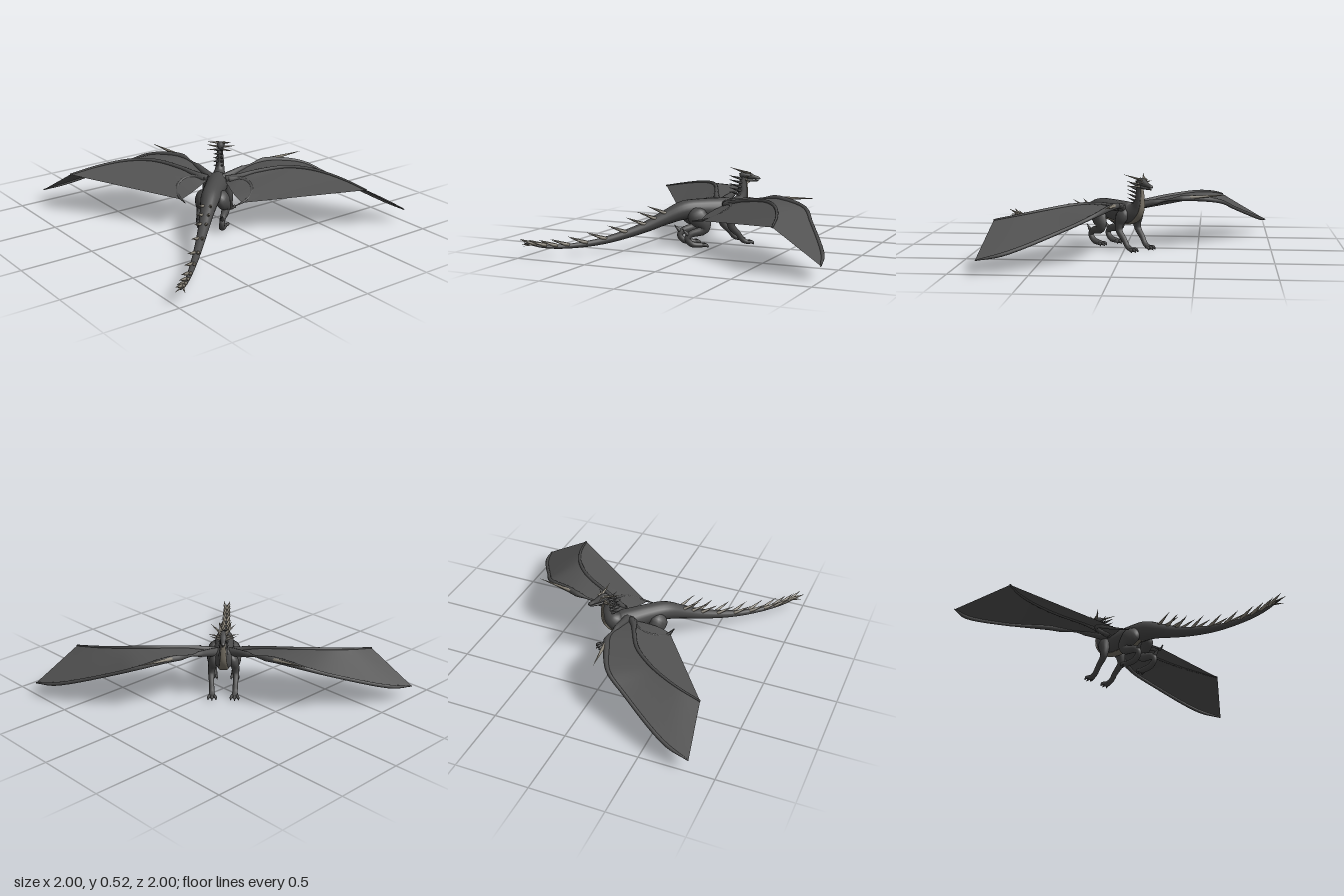
import * as THREE from 'three';

const mat = (name, color, side = THREE.FrontSide) => {
  const m = new THREE.MeshStandardMaterial({ color, side });
  m.name = name;
  return m;
};
const hide = mat('dark hide', 0x4a4a4a);
const skin = mat('wing membrane', 0x525252, THREE.DoubleSide);
const horn = mat('horn', 0x8c867a);
const belly = mat('belly scales', 0x7a7468);

const X = new THREE.Vector3(1, 0, 0);
const Y = new THREE.Vector3(0, 1, 0);

// Path entries are [x, y, z, halfWidth, halfHeight]; radii follow the same spline.
function splines(path) {
  return {
    line: new THREE.CatmullRomCurve3(path.map(p => new THREE.Vector3(p[0], p[1], p[2]))),
    size: new THREE.CatmullRomCurve3(path.map(p => new THREE.Vector3(p[3], p[4] ?? p[3], 0))),
  };
}

// Closed tapering body swept along a path
function limb(name, path, material, sides = 12, steps = (path.length - 1) * 5, ref = X) {
  const { line, size } = splines(path);
  const pos = [], idx = [];
  for (let i = 0; i <= steps; i++) {
    const u = i / steps, p = line.getPoint(u), t = line.getTangent(u), r = size.getPoint(u);
    const side = ref.clone().addScaledVector(t, -ref.dot(t)).normalize();
    const up = t.clone().cross(side);
    for (let j = 0; j < sides; j++) {
      const a = (j / sides) * Math.PI * 2;
      const v = p.clone()
        .addScaledVector(side, Math.cos(a) * Math.max(r.x, 0.0005))
        .addScaledVector(up, Math.sin(a) * Math.max(r.y, 0.0005));
      pos.push(v.x, v.y, v.z);
      if (i < steps) {
        const k = (j + 1) % sides, A = i * sides + j, B = i * sides + k;
        idx.push(A, B, A + sides, B, B + sides, A + sides);
      }
    }
  }
  // end caps
  for (let j = 1; j < sides - 1; j++) {
    const e = steps * sides;
    idx.push(0, j + 1, j, e, e + j, e + j + 1);
  }
  return finish(name, pos, idx, material);
}

// Membrane stretched between two curves
function sheet(name, a, b, material, nu = 30, nv = 8) {
  const ca = splines(a).line, cb = splines(b).line, pos = [], idx = [];
  for (let i = 0; i <= nu; i++) for (let j = 0; j <= nv; j++) {
    const v = ca.getPoint(i / nu).lerp(cb.getPoint(i / nu), j / nv);
    pos.push(v.x, v.y, v.z);
    if (i < nu && j < nv) {
      const A = i * (nv + 1) + j, C = A + nv + 1;
      idx.push(A, A + 1, C, A + 1, C + 1, C);
    }
  }
  return finish(name, pos, idx, material);
}

function finish(name, pos, idx, material) {
  const g = new THREE.BufferGeometry();
  g.setAttribute('position', new THREE.Float32BufferAttribute(pos, 3));
  g.setIndex(idx);
  g.computeVertexNormals();
  const m = new THREE.Mesh(g, material);
  m.name = name;
  return m;
}

// Pointed spike from a to b
function spike(name, a, b, r, material = horn) {
  const mid = a.map((v, i) => v * 0.5 + b[i] * 0.5);
  return limb(name, [[...a, r], [...mid, r * 0.6], [...b, 0]], material, 7, 4);
}

export function createModel() {
  const root = new THREE.Group();
  root.name = 'dragon';
  const dragon = new THREE.Group();
  dragon.name = 'dragonBody';
  dragon.rotation.y = Math.PI * 0.75; // the body runs diagonally across the base
  root.add(dragon);
  const add = (...m) => dragon.add(...m);

  // Tail, trunk and neck in one sweep
  const spine = [
    [0, 0.1, -1.37, 0.003], [0, 0.07, -1.25, 0.01], [0, 0.06, -1.1, 0.015], [0, 0.08, -0.85, 0.023],
    [0, 0.15, -0.57, 0.035], [0, 0.208, -0.42, 0.048], [0, 0.255, -0.28, 0.065, 0.065],
    [0, 0.258, -0.15, 0.068, 0.07], [0, 0.25, 0, 0.075, 0.078], [0, 0.255, 0.08, 0.06, 0.07],
    [0, 0.3, 0.13, 0.036, 0.046], [0, 0.36, 0.15, 0.027, 0.032], [0, 0.42, 0.15, 0.022, 0.027],
    [0, 0.465, 0.165, 0.02, 0.024],
  ];
  add(limb('trunk', spine, hide, 18));

  // Pale scales from belly up to the throat
  add(limb('bellyScales', [
    [0, 0.2, -0.27, 0.01, 0.004], [0, 0.188, -0.15, 0.032, 0.008], [0, 0.175, 0, 0.036, 0.008],
    [0, 0.2, 0.1, 0.034, 0.012], [0, 0.27, 0.166, 0.026, 0.01], [0, 0.36, 0.18, 0.019, 0.007],
    [0, 0.43, 0.175, 0.012, 0.006],
  ], belly));

  // Head and jaw
  add(limb('head', [
    [0, 0.478, 0.13, 0.012, 0.014], [0, 0.477, 0.165, 0.027, 0.027], [0, 0.468, 0.2, 0.024, 0.023],
    [0, 0.457, 0.24, 0.016, 0.014], [0, 0.45, 0.268, 0.014, 0.011], [0, 0.447, 0.281, 0.004, 0.004],
  ], hide));
  add(limb('jaw', [
    [0, 0.45, 0.15, 0.014, 0.012], [0, 0.44, 0.19, 0.018, 0.011], [0, 0.434, 0.24, 0.012, 0.007],
    [0, 0.432, 0.268, 0.005, 0.004],
  ], hide));

  // Tail spikes in splayed pairs, following the tail curve
  const tail = splines(spine);
  for (let i = 0; i < 10; i++) {
    const u = (0.5 + i * 0.5) / (spine.length - 1);
    const p = tail.line.getPoint(u), r = tail.size.getPoint(u).x;
    const len = 0.085 + 0.003 * i;
    for (const s of [-1, 1]) {
      add(spike('tailSpike', [s * r * 0.4, p.y + r * 0.6, p.z + 0.02],
        [s * (r * 0.5 + 0.022), p.y + r + 0.034, p.z - len], 0.013));
    }
  }
  for (const s of [-1, 1]) add(spike('tailTipSpike', [0, 0.09, -1.31], [s * 0.03, 0.085, -1.38], 0.008));

  for (const s of [-1, 1]) {
    const at = list => list.map(([x, ...rest]) => [s * x, ...rest]);

    // Horns, cheek spikes, eyes and neck frill
    add(spike('horn', [s * 0.015, 0.492, 0.175], [s * 0.085, 0.524, 0.09], 0.009));
    add(spike('browHorn', [s * 0.02, 0.49, 0.2], [s * 0.05, 0.512, 0.12], 0.007));
    add(spike('cheekSpike', [s * 0.02, 0.465, 0.17], [s * 0.1, 0.48, 0.16], 0.008));
    add(spike('jawSpike', [s * 0.016, 0.445, 0.17], [s * 0.09, 0.45, 0.13], 0.008));
    for (let i = 0; i < 5; i++) {
      const y = 0.34 + i * 0.028;
      add(spike('neckSpike', [s * 0.01, y, 0.135], [s * 0.035, y + 0.022, 0.06], 0.01, hide));
    }
    const eye = new THREE.Mesh(new THREE.SphereGeometry(0.005, 10, 8), horn);
    eye.name = 'eye';
    eye.position.set(s * 0.023, 0.475, 0.203);
    add(eye);

    // Legs
    add(limb('hindLeg', at([
      [0.04, 0.255, -0.23, 0.03, 0.04], [0.068, 0.22, -0.21, 0.045, 0.068], [0.085, 0.16, -0.165, 0.036, 0.05],
      [0.085, 0.125, -0.17, 0.028, 0.034], [0.08, 0.1, -0.26, 0.02, 0.024], [0.078, 0.07, -0.285, 0.018, 0.02],
      [0.075, 0.03, -0.25, 0.022, 0.02], [0.075, 0.02, -0.18, 0.026, 0.016], [0.075, 0.015, -0.15, 0.01, 0.008],
    ]), hide));
    add(spike('heelSpur', [s * 0.08, 0.09, -0.275], [s * 0.085, 0.145, -0.325], 0.017, hide));
    add(limb('frontLeg', at([
      [0.035, 0.275, 0.04, 0.025, 0.03], [0.065, 0.24, 0.045, 0.035, 0.05], [0.08, 0.18, 0.03, 0.028, 0.034],
      [0.085, 0.135, 0.035, 0.022, 0.026], [0.082, 0.08, 0.085, 0.018, 0.02], [0.08, 0.035, 0.12, 0.018, 0.018],
      [0.078, 0.018, 0.16, 0.024, 0.014], [0.078, 0.014, 0.18, 0.01, 0.008],
    ]), hide));
    for (const z of [-0.19, 0.145]) for (const k of [-1, 0, 1]) {
      add(limb('toe', [
        [s * 0.077 + k * 0.012, 0.02, z, 0.01], [s * 0.077 + k * 0.024, 0.02, z + 0.035, 0.01, 0.012],
        [s * 0.077 + k * 0.028, 0.004, z + 0.06 - Math.abs(k) * 0.012, 0.001],
      ], hide, 8));
    }

    // Wing points, given on the diagonal ground plan and turned to the body axis
    const w = list => list.map(([x, y, z, ...r]) =>
      [s * (x + z) * Math.SQRT1_2, y, (x - z) * Math.SQRT1_2, ...r]);
    const arm = w([
      [0.02, 0.28, 0.02, 0.035], [0.1, 0.3, 0.02, 0.028], [0.22, 0.325, 0.015, 0.02], [0.38, 0.348, 0.02, 0.02],
      [0.46, 0.348, 0.05, 0.021], [0.65, 0.315, 0.145, 0.014], [0.75, 0.25, 0.3, 0.012],
      [0.945, 0.125, 0.65, 0.013], [0.995, 0.09, 0.825, 0.004],
    ]);
    const finger = w([
      [0.04, 0.29, 0.05, 0.025], [0.12, 0.31, 0.1, 0.02], [0.22, 0.335, 0.145, 0.014], [0.4, 0.358, 0.24, 0.013],
      [0.5, 0.358, 0.34, 0.012], [0.57, 0.345, 0.45, 0.01], [0.63, 0.32, 0.6, 0.008], [0.67, 0.288, 0.775, 0.006],
    ]);
    const inner = w([
      [0.03, 0.28, 0.06, 0.02], [0.0, 0.26, 0.15, 0.01], [-0.02, 0.235, 0.24, 0.01], [-0.02, 0.21, 0.31, 0.01],
    ]);
    add(limb('wingArm', arm, hide, 10, 45, Y));
    add(limb('wingFinger', finger, hide, 10, 40, Y));
    add(limb('wingHook', w([
      [0.05, 0.29, 0.07, 0.022], [0.11, 0.295, 0.11, 0.018], [0.135, 0.285, 0.18, 0.013],
      [0.11, 0.26, 0.25, 0.012], [0.04, 0.225, 0.3, 0.01], [-0.08, 0.205, 0.32, 0.003],
    ]), hide, 10, 30, Y));
    add(spike('wingClaw', ...w([[0.41, 0.352, 0.03], [0.7, 0.37, 0.066]]), 0.014));
    add(sheet('outerMembrane', arm, finger, skin));
    add(sheet('innerMembrane', finger, inner, skin));
  }
  return root;
}
